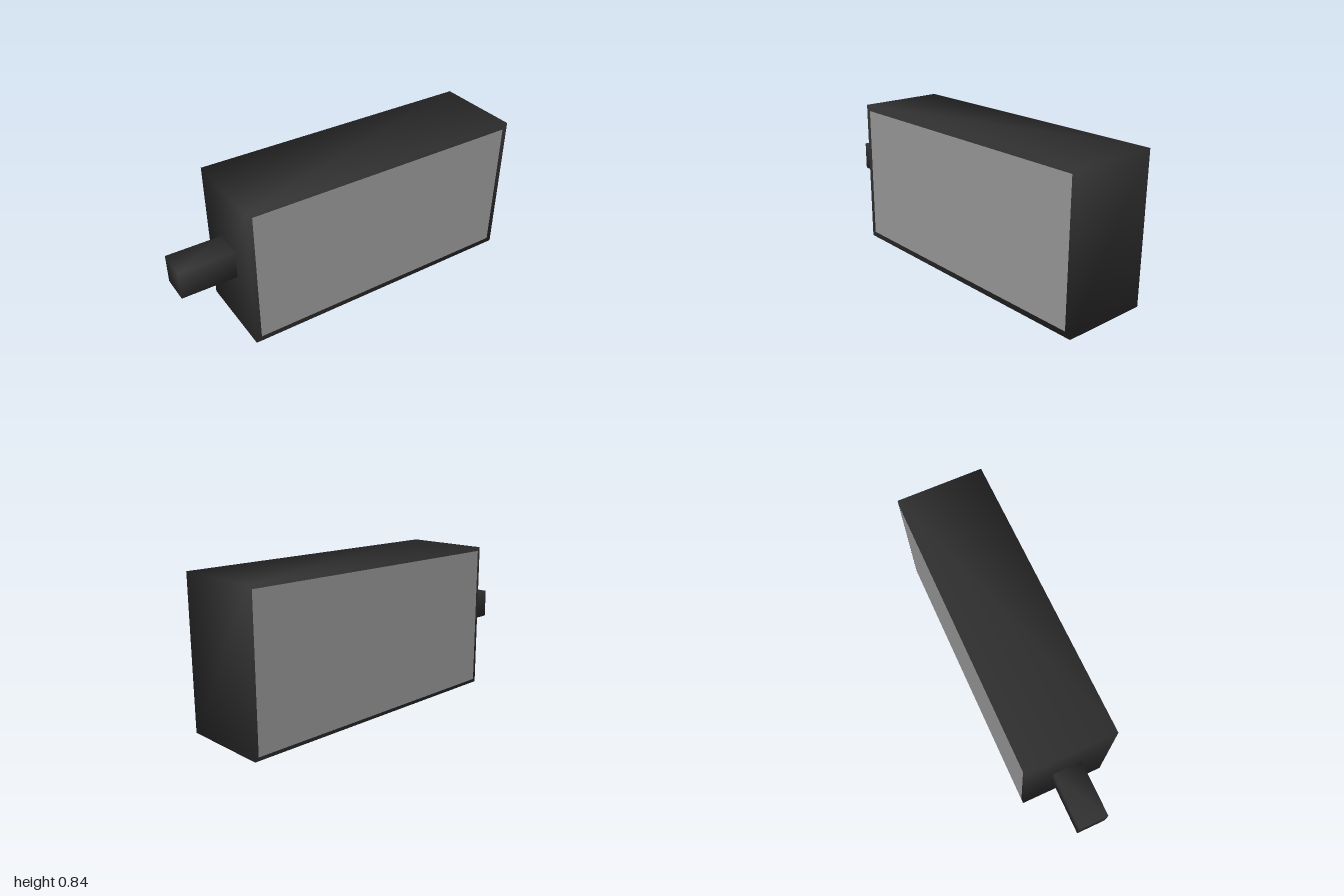
import * as THREE from 'three';
import { mergeVertices } from 'three/addons/utils/BufferGeometryUtils.js';

// Box with shared corners, so its normals blend across the edges
function softBox(w, h, d) {
  const g = new THREE.BoxGeometry(w, h, d);
  g.deleteAttribute('uv');
  g.deleteAttribute('normal');
  const merged = mergeVertices(g);
  merged.computeVertexNormals();
  return merged;
}

export function createModel() {
  const group = new THREE.Group();
  const dark = new THREE.MeshStandardMaterial({ color: 0x333333 });
  const grey = new THREE.MeshStandardMaterial({ color: 0x999999 });

  const W = 1.685, H = 0.843, D = 0.506;
  const cx = 1 - W / 2, cy = H / 2;

  const add = (name, geometry, material, x, y, z) => {
    const mesh = new THREE.Mesh(geometry, material);
    mesh.name = name;
    mesh.position.set(x, y, z);
    group.add(mesh);
    return mesh;
  };

  // Main casing
  add('casing', softBox(W, H, D), dark, cx, cy, 0);

  // Side peg, running up to the casing wall
  const pegLength = 2 - W;
  add('sidePeg', softBox(pegLength, 0.166, 0.166), dark, -1 + pegLength / 2, cy + 0.003, 0);

  // Panels on the two large faces; the back one has a narrower rim
  for (const [name, side, rim] of [['frontPanel', 1, 0.032], ['backPanel', -1, 0.02]]) {
    const panel = add(name, new THREE.PlaneGeometry(W - 2 * rim, H - 2 * rim), grey,
      cx, cy, side * (D / 2 + 0.002));
    if (side < 0) panel.rotation.y = Math.PI;
  }

  return group;
}
